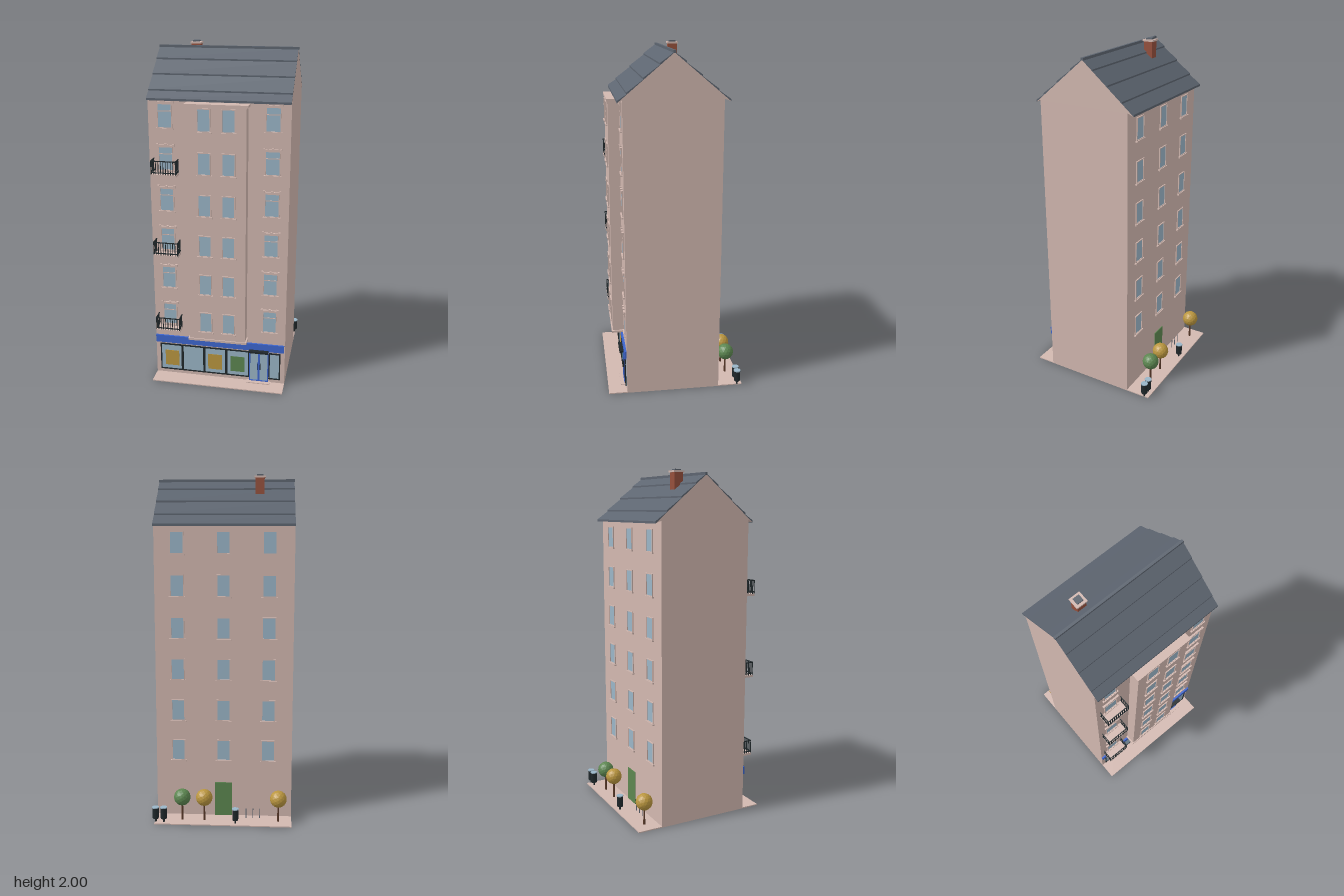
import * as THREE from 'three';

const mat = (name, hex) => Object.assign(new THREE.MeshStandardMaterial({ color: hex }), { name });

export function createModel() {
  const M = {
    wall: mat('pink plaster', 0xd2b8b0), glass: mat('pale glass', 0x9ab5c7),
    slate: mat('slate', 0x5d6570), black: mat('black iron', 0x20282b),
    blue: mat('shop blue', 0x3d66cf), yellow: mat('autumn yellow', 0xba963f),
    green: mat('leaf green', 0x5c8650), brick: mat('brick', 0x96503c),
    bark: mat('bark', 0x5a3a2a),
  };
  const root = new THREE.Group();
  const group = (name, x = 0, y = 0, z = 0, parent = root) => {
    const g = new THREE.Group();
    g.name = name;
    g.position.set(x, y, z);
    parent.add(g);
    return g;
  };
  const add = (parent, name, geo, m, x = 0, y = 0, z = 0) => {
    const mesh = new THREE.Mesh(geo, m);
    mesh.name = name;
    mesh.position.set(x, y, z);
    parent.add(mesh);
    return mesh;
  };
  // Box given by its limits on each axis
  const box = (p, name, m, x0, x1, y0, y1, z0, z1) =>
    add(p, name, new THREE.BoxGeometry(x1 - x0, y1 - y0, z1 - z0), m, (x0 + x1) / 2, (y0 + y1) / 2, (z0 + z1) / 2);
  // Rectangular frame of four bars around an opening
  const frame = (p, name, m, x0, x1, y0, y1, t, z0, z1) => {
    box(p, name, m, x0, x0 + t, y0, y1, z0, z1);
    box(p, name, m, x1 - t, x1, y0, y1, z0, z1);
    box(p, name, m, x0 + t, x1 - t, y0, y0 + t, z0, z1);
    box(p, name, m, x0 + t, x1 - t, y1 - t, y1, z0, z1);
  };

  const X0 = -0.405, X1 = 0.39, FRONT = 0.293, BACK = -0.255, BAY = 0.357;
  const RIDGE = { z: 0.016, y: 1.965 };

  box(root, 'pavement', M.wall, X0, X1, 0, 0.006, -0.4, 0.4);

  // House body: gabled profile with eaves, extruded across the width
  const profile = new THREE.Shape([
    [BACK, 0.004], [FRONT, 0.004], [FRONT, 1.722], [0.318, 1.71], [RIDGE.z, RIDGE.y], [-0.288, 1.71], [BACK, 1.722],
  ].map(([z, y]) => new THREE.Vector2(-z, y)));
  const body = add(root, 'houseBody', new THREE.ExtrudeGeometry(profile, { depth: X1 - X0, bevelEnabled: false }), M.wall, X0);
  body.rotation.y = Math.PI / 2;

  // Roof: four overlapping courses on each slope
  const roof = group('roof');
  for (const [edges, side] of [[[0.016, 0.093, 0.181, 0.27, 0.32], 1], [[0.016, -0.048, -0.135, -0.223, -0.291], -1]]) {
    const slope = (RIDGE.y - 1.71) / Math.abs((side > 0 ? 0.318 : -0.288) - RIDGE.z);
    const yAt = z => RIDGE.y - Math.abs(z - RIDGE.z) * slope;
    for (let i = 0; i < 4; i++) {
      const a = edges[i], b = edges[i + 1];
      const s = new THREE.Shape([[a, 0], [b, 0], [b, 0.012], [a, 0.003]]
        .map(([z, lift]) => new THREE.Vector2(-z, yAt(z) + lift)));
      const course = add(roof, 'roofCourse', new THREE.ExtrudeGeometry(s, { depth: X1 - X0, bevelEnabled: false }), M.slate, X0);
      course.rotation.y = Math.PI / 2;
    }
  }
  box(roof, 'ridgeCap', M.slate, X0 - 0.002, X1 + 0.002, 1.962, 1.977, 0.008, 0.022);

  // Chimney
  const chimney = group('chimney', -0.205, 0, -0.058);
  box(chimney, 'chimneyStack', M.brick, -0.026, 0.026, 1.86, 1.982, -0.026, 0.026);
  box(chimney, 'chimneyCap', M.wall, -0.032, 0.032, 1.982, 1.992, -0.032, 0.032);
  box(chimney, 'chimneyPot', M.slate, -0.018, 0.018, 1.992, 2, -0.018, 0.018);

  // Projecting bay with trims at both ends
  const bay = group('bay');
  box(bay, 'bayBody', M.wall, -0.175, 0.158, 0.295, 1.695, FRONT - 0.01, BAY);
  box(bay, 'bayBase', M.wall, -0.184, 0.167, 0.285, 0.298, FRONT - 0.01, 0.363);
  box(bay, 'bayCornice', M.wall, -0.184, 0.167, 1.69, 1.703, FRONT - 0.01, 0.363);

  // Window: origin at the middle of the sill top, facing +z
  const addWindow = (x, y, z, w, h, ornate, back) => {
    const g = group(back ? 'backWindow' : 'frontWindow', x, y, z);
    if (back) g.rotation.y = Math.PI;
    box(g, 'pane', M.glass, -w / 2, w / 2, 0, h, 0, 0.002);
    frame(g, 'windowFrame', M.wall, -w / 2 - 0.005, w / 2 + 0.005, -0.001, h + 0.005, 0.005, 0, 0.006);
    box(g, 'sill', M.wall, -w / 2 - 0.012, w / 2 + 0.012, -0.009, 0, 0, 0.011);
    if (!ornate) return;
    box(g, 'transom', M.wall, -w / 2, w / 2, h * 0.7, h * 0.7 + 0.005, 0, 0.004);
    box(g, 'lintel', M.wall, -w / 2 - 0.014, w / 2 + 0.014, h + 0.005, h + 0.015, 0, 0.01);
    for (const s of [-1, 0, 1]) {
      const c = s * (w / 2 + 0.009);
      box(g, 'lintelBlock', M.wall, c - 0.006, c + 0.006, h + 0.012, h + 0.021, 0, 0.012);
    }
  };
  for (let r = 0; r < 6; r++) {
    const y = 0.346 + r * 0.2414;
    for (const x of [-0.076, 0.06]) addWindow(x, y, BAY, 0.066, 0.122, false, false);
    for (const x of [-0.31, 0.294]) addWindow(x, y, FRONT, 0.075, 0.132, true, false);
    for (const x of [-0.265, -0.005, 0.26]) addWindow(x, y, BACK, 0.07, 0.12, false, true);
  }

  // Balconies at every second floor on one side
  for (const r of [0, 2, 4]) {
    const g = group('balcony', -0.309, 0.33 + r * 0.2414, FRONT);
    box(g, 'balconySlab', M.wall, -0.073, 0.073, -0.006, 0.006, 0, 0.07);
    for (const y of [0.014, 0.08]) {
      box(g, 'frontRail', M.black, -0.073, 0.073, y, y + 0.005, 0.065, 0.07);
      for (const x of [-0.073, 0.068]) box(g, 'sideRail', M.black, x, x + 0.005, y, y + 0.005, 0, 0.066);
    }
    for (let i = 0; i <= 10; i++) {
      const x = -0.0705 + i * 0.0141;
      box(g, 'baluster', M.black, x - 0.0017, x + 0.0017, 0.006, 0.082, 0.066, 0.069);
    }
    for (const x of [-0.0705, 0.0705]) for (let i = 0; i < 4; i++) {
      const z = 0.008 + i * 0.016;
      box(g, 'baluster', M.black, x - 0.0017, x + 0.0017, 0.006, 0.082, z - 0.0017, z + 0.0017);
    }
  }

  // Shop front: sign band, framed windows, posters
  const shop = group('shopFront');
  box(shop, 'signBand', M.blue, -0.403, 0.385, 0.218, 0.265, FRONT - 0.01, 0.304);
  for (const [a, b] of [[-0.378, -0.24], [-0.24, -0.103], [-0.103, 0.034], [0.034, 0.175], [0.294, 0.364]]) {
    box(shop, 'shopPane', M.glass, a, b, 0.03, 0.205, FRONT, 0.296);
    frame(shop, 'shopWindowFrame', M.black, a, b, 0.03, 0.207, 0.007, FRONT, 0.3);
  }
  for (const [x, m] of [[-0.305, M.yellow], [-0.036, M.yellow], [0.103, M.green]])
    box(shop, 'poster', m, x - 0.043, x + 0.043, 0.06, 0.162, 0.296, 0.298);

  // Double entrance door with canopy and step
  box(shop, 'doorPane', M.glass, 0.177, 0.293, 0.01, 0.212, FRONT, 0.297);
  for (const a of [0.176, 0.2345]) {
    frame(shop, 'doorFrame', M.blue, a, a + 0.0585, 0.01, 0.212, 0.006, FRONT, 0.302);
  }
  for (const x of [0.227, 0.243]) box(shop, 'doorHandle', M.black, x - 0.0015, x + 0.0015, 0.09, 0.13, 0.297, 0.306);
  box(shop, 'canopy', M.black, 0.175, 0.292, 0.213, 0.225, FRONT, 0.328);
  box(shop, 'doorStep', M.wall, 0.16, 0.305, 0.005, 0.011, FRONT, 0.325);

  box(root, 'backDoor', M.green, -0.055, 0.045, 0.006, 0.21, BACK - 0.005, BACK);

  // Trees, low-poly crowns
  for (const [x, m] of [[-0.328, M.yellow], [0.104, M.yellow], [0.233, M.green]]) {
    const g = group('tree', x, 0, -0.33);
    add(g, 'trunk', new THREE.CylinderGeometry(0.005, 0.007, 0.1, 6), M.bark, 0, 0.054);
    const crown = add(g, 'crown', new THREE.IcosahedronGeometry(0.049, 2), m, 0, 0.143);
    crown.geometry.computeVertexNormals();
  }

  // Litter bins on short posts
  for (const x of [-0.08, 0.338, 0.385]) {
    const g = group('bin', x, 0, -0.371);
    add(g, 'binPost', new THREE.CylinderGeometry(0.006, 0.006, 0.03, 6), M.black, 0, 0.018);
    const turn = Math.PI / 8;
    add(g, 'binBody', new THREE.CylinderGeometry(0.019, 0.018, 0.064, 8), M.black, 0, 0.058).rotation.y = turn;
    add(g, 'binLid', new THREE.CylinderGeometry(0.021, 0.021, 0.006, 8), M.glass, 0, 0.093).rotation.y = turn;
  }

  // Row of slim cycle posts
  for (const x of [-0.22, -0.18, -0.14])
    add(root, 'cyclePost', new THREE.CylinderGeometry(0.0025, 0.0025, 0.06, 6), M.slate, x, 0.034, -0.29);

  return root;
}
